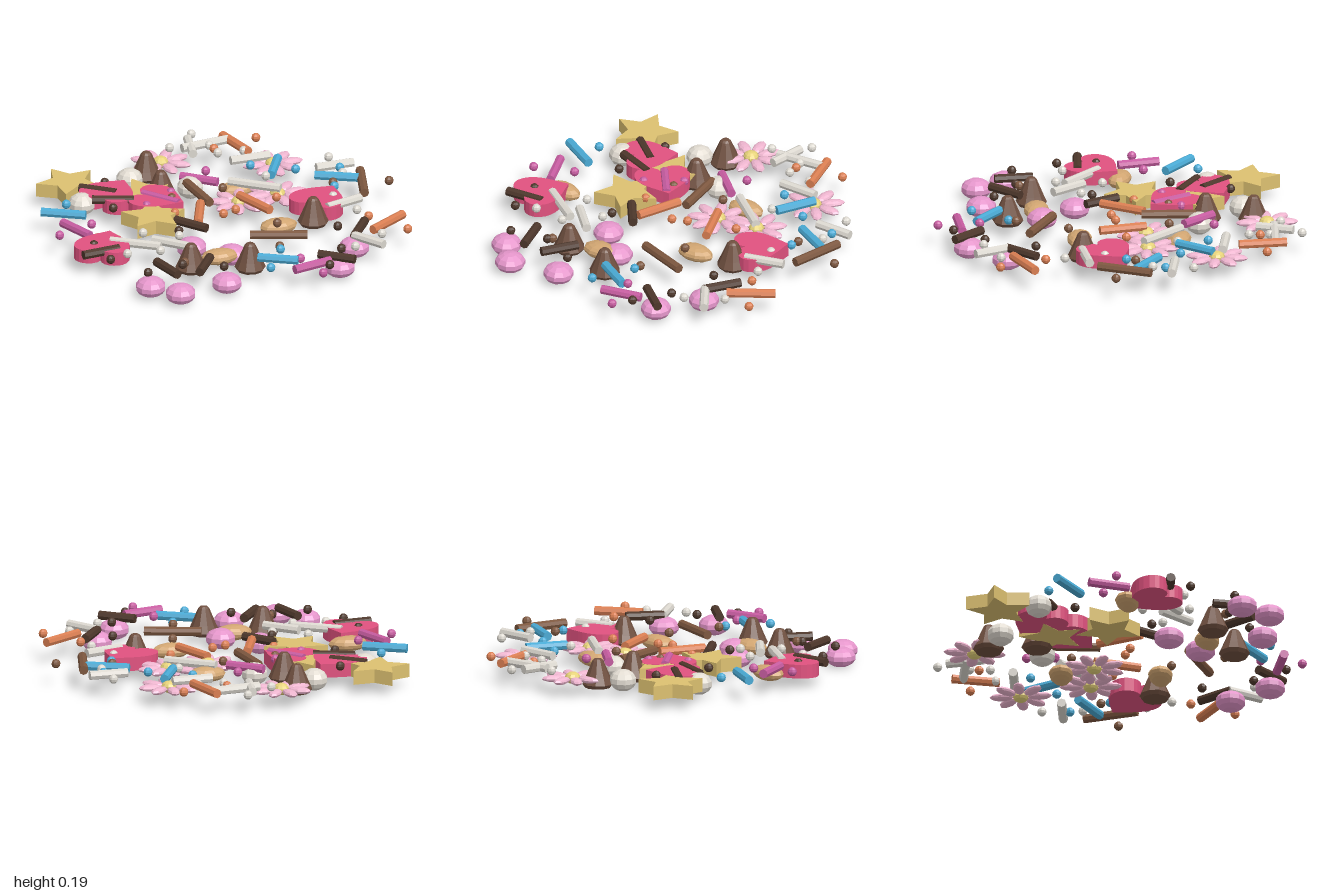
import * as THREE from 'three';

const COLORS = {
  white: 0xdcd8d0, orange: 0xd97e52, blue: 0x4aaad4, pink: 0xc65ca0, dark: 0x4d372b, brown: 0x7d573f,
  candy: 0xe596cb, pearl: 0xe2dcd2, chip: 0x705040, almond: 0xd2a672, petal: 0xefb6d0, yolk: 0xe6d27a,
  star: 0xdcc070, heart: 0xe0527f,
};
const materials = {};
for (const [name, color] of Object.entries(COLORS)) {
  materials[name] = new THREE.MeshStandardMaterial({ color, flatShading: true });
}

// Layout is in hundredths of a unit, on the ground plane.
// Rods: x1, z1, x2, z2
const RODS = {
  white: [[12, -93, 8, -73], [5, -82, 32, -85], [24, -58, 46, -58], [64, -34, 85, -34], [14, -33, 37, -15],
    [52, 17, 73, 11], [-72, 19, -49, 35], [-50, 25, -35, 40], [53, 56, 64, 73]],
  orange: [[31, -91, 37, -66], [13, -14, 22, 10], [-10, -11, -20, 13], [65, 53, 87, 39]],
  blue: [[-94, -29, -73, -17], [49, -53, 38, -33], [60, -25, 81, -14], [-5, 66, 14, 77]],
  pink: [[-8, -48, 8, -34], [-35, -33, -21, -15], [-88, -12, -80, 9], [8, 88, 30, 83]],
  dark: [[-64, -52, -48, -39], [-63, -35, -42, -27], [-92, 32, -71, 30], [-30, 5, -18, 21],
    [-58, 53, -53, 73], [-29, 57, -41, 74], [65, 40, 53, 57], [27, 73, 43, 86]],
  brown: [[-8, -39, -5, -10], [1, 37, 30, 47], [85, -23, 77, 6]],
};
// Beads: x, z
const BEADS = {
  white: [[16, -98], [-1, -85], [20, -81], [21, -70], [35, -68], [75, -45], [75, -23], [60, 4], [66, 25],
    [68, 59], [49, 70], [-52, 15], [-35, 25], [-51, 40], [-69, 38], [35, -33]],
  orange: [[47, -82], [21, -76], [31, -5], [5, 3], [-3, 6], [69, 35], [83, 58], [-27, -4]],
  pink: [[7, -50], [-74, -5], [-95, 3], [-20, -30], [-38, -18], [16, 75], [21, 97]],
  blue: [[-78, -34], [32, -49], [53, -36], [76, -30], [65, -8], [10, 60], [-3, 81]],
  dark: [[-49, -54], [-56, -21], [-80, 42], [-82, 21], [-33, 19], [-67, 65], [-26, 71], [49, 42],
    [41, 70], [28, 88], [-46, 61]],
  brown: [[95, -5], [8, -26], [20, 27], [11, 56], [-44, 59], [-22, -23], [66, -13]],
};
// Larger pieces: x, z, heading in degrees from +x towards +z
const CANDIES = [[-29, 28], [-12, 44], [-67, 69], [-55, 83], [-27, 78], [37, 79], [53, 57]];
const PEARLS = [[-32, -62], [-67, -40], [-5, -41]];
const CHIPS = [[-20, -69], [-21, -43], [-38, 52], [-8, 62], [44, 17]];
const ALMONDS = [[19, -32, 0], [-72, 8, 3], [23, 21, 0], [-20, 48, 2]];
const FLOWERS = [[-9, -77, -10], [47, -55, 3], [13, -14, 20], [36, -17, 0]];
const STARS = [[-67, -61, -30], [-39, -4, -5], [-33, -34, -95]];
const HEARTS = [[52, 4, -42], [-77, 22, -58], [-51, -41, -40], [-30, -25, 45]];

const ROD_Y = 0.13;

function ellipsoid(rx, ry, rz, around = 10, down = 7) {
  return new THREE.SphereGeometry(1, around, down).scale(rx, ry, rz);
}

// Flat shape drawn in (x, z), with its top face at y = 0
function slab(shape, depth) {
  return new THREE.ExtrudeGeometry(shape, { depth, bevelEnabled: false, curveSegments: 8 }).rotateX(Math.PI / 2);
}

function starGeometry() {
  const points = [];
  for (let i = 0; i < 10; i++) {
    const r = i % 2 ? 0.09 : 0.18;
    const a = (i * Math.PI) / 5;
    points.push(new THREE.Vector2(r * Math.cos(a), r * Math.sin(a)));
  }
  return slab(new THREE.Shape(points), 0.075);
}

// Heart with its tip along +x
function heartGeometry() {
  const s = new THREE.Shape();
  s.moveTo(0.16, 0);
  s.bezierCurveTo(0.1, 0.06, 0.05, 0.15, -0.04, 0.15);
  s.bezierCurveTo(-0.14, 0.15, -0.15, 0.02, -0.07, 0);
  s.bezierCurveTo(-0.15, -0.02, -0.14, -0.15, -0.04, -0.15);
  s.bezierCurveTo(0.05, -0.15, 0.1, -0.06, 0.16, 0);
  return slab(s, 0.075);
}

// Almond: an ellipsoid narrowed towards one end
function almondGeometry() {
  const g = ellipsoid(0.105, 0.042, 0.066, 10, 8);
  const p = g.attributes.position;
  for (let i = 0; i < p.count; i++) p.setZ(i, p.getZ(i) * (1 - p.getX(i) * 1.5));
  g.computeVertexNormals();
  return g;
}

function chipGeometry() {
  const profile = [[0, 0.045], [0.07, 0.045], [0.084, 0.065], [0.066, 0.105], [0.047, 0.15], [0.03, 0.19], [0.02, 0.2], [0, 0.203]];
  return new THREE.LatheGeometry(profile.map(([r, y]) => new THREE.Vector2(r, y)), 10);
}

function flower() {
  const group = new THREE.Group();
  const petal = ellipsoid(0.066, 0.019, 0.032, 8, 6).translate(0.102, 0, 0);
  for (let i = 0; i < 8; i++) {
    const mesh = new THREE.Mesh(petal, materials.petal);
    mesh.name = 'petal';
    mesh.rotation.y = (i * Math.PI) / 4;
    group.add(mesh);
  }
  const center = new THREE.Mesh(ellipsoid(0.043, 0.033, 0.043, 10, 7), materials.yolk);
  center.name = 'flowerCenter';
  group.add(center);
  return group;
}

export function createModel() {
  const model = new THREE.Group();
  model.name = 'sprinkleMix';

  // Places one copy per layout entry; make() returns the object
  function scatter(name, layout, y, make) {
    const group = new THREE.Group();
    group.name = name + 'Set';
    for (const [x, z, heading = 0] of layout) {
      const item = make();
      item.name = name;
      item.position.set(x / 100, y, z / 100);
      item.rotation.y = -THREE.MathUtils.degToRad(heading);
      group.add(item);
    }
    model.add(group);
  }
  const copies = (geometry, material) => () => new THREE.Mesh(geometry, materials[material]);

  // Rod sprinkles
  const rod = new THREE.CylinderGeometry(0.025, 0.025, 1, 8).rotateZ(Math.PI / 2);
  for (const [color, list] of Object.entries(RODS)) {
    for (const [x1, z1, x2, z2] of list) {
      const mesh = new THREE.Mesh(rod, materials[color]);
      mesh.name = color + 'Rod';
      mesh.position.set((x1 + x2) / 200, ROD_Y, (z1 + z2) / 200);
      mesh.rotation.y = -Math.atan2(z2 - z1, x2 - x1);
      mesh.scale.x = Math.hypot(x2 - x1, z2 - z1) / 100;
      model.add(mesh);
    }
  }

  // Round sprinkles
  const bead = ellipsoid(0.025, 0.025, 0.025, 8, 6);
  for (const [color, list] of Object.entries(BEADS)) scatter(color + 'Bead', list, ROD_Y, copies(bead, color));

  // Larger pieces
  scatter('candy', CANDIES, 0.065, copies(ellipsoid(0.083, 0.055, 0.083), 'candy'));
  scatter('pearl', PEARLS, 0.09, copies(ellipsoid(0.073, 0.06, 0.073), 'pearl'));
  scatter('chocolateChip', CHIPS, 0, copies(chipGeometry(), 'chip'));
  scatter('almond', ALMONDS, 0.082, copies(almondGeometry(), 'almond'));
  scatter('flower', FLOWERS, 0.092, flower);
  scatter('star', STARS, 0.139, copies(starGeometry(), 'star'));
  scatter('heart', HEARTS, 0.14, copies(heartGeometry(), 'heart'));

  return model;
}
